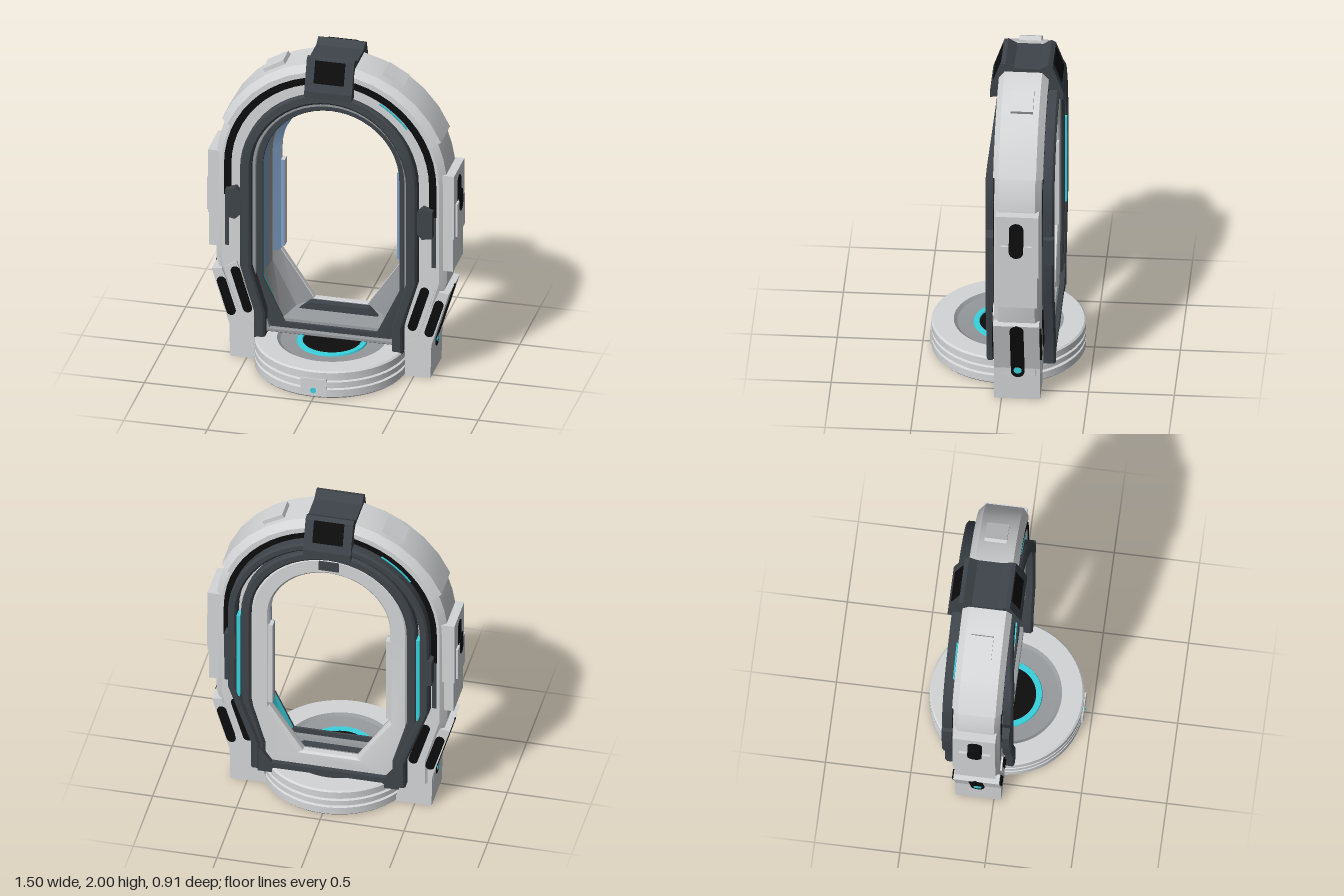
import * as THREE from 'three';
import { toCreasedNormals } from 'three/addons/utils/BufferGeometryUtils.js';

const mat = (name, color) => Object.assign(new THREE.MeshStandardMaterial({ color, side: THREE.DoubleSide }), { name });
const silver = mat('silver', 0xd3d5d7), grey = mat('midGrey', 0x96999c), dark = mat('darkSlate', 0x3e444a);
const black = mat('black', 0x0d0d0e), cyan = mat('cyanGlow', 0x38d2de), blue = mat('softBlue', 0x80a0c7);

const CY = 1.25; // centre height of the arch curve

// Outlines: the right half below the arch curve, from the bottom up
const opening = r => [[0.16 + 2.4 * (r - 0.36), 0.66 - r], [r, 0.6 - 1.4 * (r - 0.36)]];
const jamb = (inset, knee) => r => [[r - inset, 0.16], [r - inset, 0.33], [r, knee]];
const straight = y => r => [[r, y]];
const none = () => [];

function outline(r, lower, start, n) {
  const side = lower(r), pts = [...side];
  for (let i = 0; i <= n; i++) {
    const a = start + (Math.PI - 2 * start) * i / n;
    pts.push([r * Math.cos(a), CY + r * Math.sin(a)]);
  }
  return pts.concat(side.map(([x, y]) => [-x, y]).reverse());
}

// Sweeps a profile of [radius, z] points around an arch outline; lean tips the top backward
function sweep(profile, lower, { closed = false, start = 0, n = 26, lean = 0 } = {}) {
  const rails = profile.map(([r, z]) => outline(r, lower, start, n).map(([x, y]) => [x, y, z - lean * Math.max(0, y - 1.45)]));
  const m = profile.length, count = rails[0].length, pos = [];
  const tri = (...p) => p.forEach(v => pos.push(...v));
  for (let i = 0; i < (closed ? count : count - 1); i++) {
    const k = (i + 1) % count;
    for (let j = 0; j < (m > 2 ? m : 1); j++) {
      const p = rails[j], q = rails[(j + 1) % m];
      tri(p[i], q[i], q[k]);
      tri(p[i], q[k], p[k]);
    }
  }
  if (!closed) for (let j = 1; j < m - 1; j++) {
    tri(rails[0][0], rails[j + 1][0], rails[j][0]);
    tri(rails[0][count - 1], rails[j][count - 1], rails[j + 1][count - 1]);
  }
  const g = new THREE.BufferGeometry();
  g.setAttribute('position', new THREE.Float32BufferAttribute(pos, 3));
  return toCreasedNormals(g, 0.4);
}

// Rectangular ring profile with small bevels
const bar = (r0, r1, z0, z1, b = 0.012) => [[r0 + b, z1], [r1 - b, z1], [r1, z1 - b], [r1, z0 + b],
  [r1 - b, z0], [r0 + b, z0], [r0, z0 + b], [r0, z1 - b]];

function plate(points, z0, z1) {
  const g = new THREE.ExtrudeGeometry(new THREE.Shape(points.map(p => new THREE.Vector2(...p))), { depth: z1 - z0, bevelEnabled: false });
  return g.translate(0, 0, z0);
}

function capsule(length, width, depth = 0.009) {
  const s = new THREE.Shape(), r = width / 2, h = Math.max(length / 2 - r, 0.0001);
  s.absarc(0, h, r, 0, Math.PI);
  s.absarc(0, -h, r, Math.PI, 2 * Math.PI);
  return new THREE.ExtrudeGeometry(s, { depth, bevelEnabled: false, curveSegments: 8 }).translate(0, 0, -depth / 2);
}

export function createModel() {
  const root = new THREE.Group();
  const add = (name, geometry, material, x = 0, y = 0, z = 0) => {
    const m = new THREE.Mesh(geometry, material);
    m.name = name;
    m.position.set(x, y, z);
    root.add(m);
    return m;
  };
  const box = (name, w, h, d, material, x, y, z) => add(name, new THREE.BoxGeometry(w, h, d), material, x, y, z);

  // Outer silver arch and its raised upper shell
  const jambs = jamb(0.085, 0.62);
  add('outerArch', sweep([[0.52, 0.04], [0.65, 0.04], [0.69, 0.01], [0.69, -0.2], [0.65, -0.235], [0.52, -0.235]], jambs), silver);
  add('upperShell', sweep([[0.645, 0.048], [0.67, 0.048], [0.712, 0.015], [0.712, -0.205], [0.67, -0.243], [0.645, -0.243]],
    none, { start: 0.4, n: 12 }), silver);
  add('frontBlackStrip', sweep([[0.592, 0.046], [0.636, 0.046]], straight(1.05)), black);
  add('backBlackStrip', sweep([[0.636, -0.241], [0.592, -0.241]], straight(1.05)), black);
  add('frontSeam', sweep([[0.606, 0.043], [0.632, 0.043]], straight(0.72)), dark);
  add('backSeam', sweep([[0.632, -0.238], [0.606, -0.238]], straight(0.72)), dark);

  // Dark frames front and back
  add('frontFrame', sweep(bar(0.465, 0.53, -0.01, 0.1), jambs, { lean: 0.13 }), dark);
  add('backInnerFrame', sweep(bar(0.465, 0.525, -0.29, -0.2), jambs), dark);
  add('backOuterFrame', sweep(bar(0.547, 0.6, -0.305, -0.22), jamb(0.14, 0.72)), dark);

  // Inner sleeve, stepping inward from front to back
  const ring = { closed: true };
  add('sleeveLip', sweep(bar(0.445, 0.47, -0.02, 0.05, 0.004), opening, ring), grey);
  add('sleeveFrontRing', sweep(bar(0.408, 0.45, 0.012, 0.025, 0.003), opening, ring), dark);
  add('sleeveGlow', sweep([[0.42, -0.045], [0.41, 0.013]], opening), cyan);
  add('sleeveWall', sweep([[0.36, -0.215], [0.402, -0.185], [0.422, -0.045], [0.47, -0.04], [0.47, -0.215]], opening, ring), grey);
  add('sleeveSidePanel', sweep([[0.407, -0.11], [0.417, -0.047]], straight(0.55)), blue);
  add('sleeveBackPanel', sweep([[0.358, -0.211], [0.4, -0.181]], straight(0.6)), blue);
  add('backRing', sweep(bar(0.36, 0.465, -0.27, -0.212, 0.012), opening, ring), silver);
  add('sill', plate([[-0.25, 0.245], [0.25, 0.245], [0.175, 0.298], [-0.175, 0.298]], -0.21, -0.16), dark);
  box('innerSensor', 0.12, 0.06, 0.05, dark, 0, 1.67, -0.255);
  add('backSkirt', plate([[-0.42, 0.14], [0.42, 0.14], [0.42, 0.32], [0.34, 0.21], [-0.34, 0.21], [-0.42, 0.32]], -0.3, -0.2), dark);

  // Short glowing arcs, one on each face
  for (const [r, z, from] of [[0.582, 0.045, 0.66], [0.607, -0.25, Math.PI - 1.04]]) {
    add('glowArc', new THREE.TorusGeometry(r, 0.006, 5, 12, 0.38).rotateZ(from), cyan, 0, CY, z);
  }

  for (const s of [-1, 1]) {
    const shape = (pts, z0, z1) => plate(pts.map(([x, y]) => [s * x, y]), z0, z1);
    const sideSlot = (name, geometry, material, x, y, tilt) => {
      const m = add(name, geometry, material, s * x, y, -0.095);
      m.rotation.order = 'ZYX';
      m.rotation.set(0, s * Math.PI / 2, -s * tilt);
    };

    // Feet with slots on the front, back and outer side
    add('foot', shape([[0.38, 0], [0.6, 0], [0.605, 0.21], [0.71, 0.557], [0.65, 0.565], [0.53, 0.27], [0.42, 0.17]], -0.225, 0.043), silver);
    add('cornerFiller', shape([[0.36, 0.15], [0.55, 0.15], [0.55, 0.6], [0.462, 0.6], [0.46, 0.45], [0.41, 0.2]], -0.22, -0.005), silver);
    sideSlot('footSideSlot', capsule(0.38, 0.08), black, 0.656, 0.376, 0.294);
    sideSlot('footSideSlotEnd', capsule(0.13, 0.08), black, 0.604, 0.215, 0.02);
    sideSlot('footLight', capsule(0.046, 0.046), cyan, 0.608, 0.2, 0.02);
    for (const [z0, z1, face] of [[0, 0.05, 1], [-0.235, -0.18, -1]]) {
      const z = face > 0 ? z1 : z0;
      add('footFin', shape([[0.43, 0.25], [0.53, 0.27], [0.63, 0.58], [0.56, 0.625]], z0, z1), silver);
      add('footSlot', capsule(0.25, 0.055), black, s * 0.622, 0.39, z - face * 0.004).rotation.z = -s * 0.3;
      add('finSlot', capsule(0.3, 0.055), black, s * 0.53, 0.445, z + face * 0.001).rotation.z = -s * 0.3;
    }

    // Side armour panels
    box('upperSidePanel', 0.08, 0.41, 0.25, silver, s * 0.697, 1.115, -0.1);
    box('lowerSidePanel', 0.07, 0.22, 0.24, silver, s * 0.695, 0.81, -0.095);
    box('sideBlock', 0.07, 0.21, 0.18, silver, s * 0.715, 1.02, -0.095);
    sideSlot('sidePanelSlot', capsule(0.22, 0.085), black, 0.736, 1.165, 0);
    sideSlot('sideBlockSlot', capsule(0.14, 0.085, 0.006), black, 0.749, 1.117, 0);

    // Pads narrowing the opening, blue on the front
    box('openingPad', 0.035, 0.56, 0.05, silver, s * 0.355, 0.9, -0.242);
    box('openingPadFace', 0.035, 0.56, 0.006, blue, s * 0.355, 0.9, -0.214);

    // Dark grips on both faces, rear light line, pads on the shell
    for (const [x, z] of [[0, 0.06], [0.02, -0.275]]) {
      add('grip', shape([[0.53 + x, 0.95], [0.56, 0.92], [0.62, 0.93], [0.62, 1.1], [0.56, 1.12], [0.53 + x, 1.09]], z - 0.03, z + 0.03), dark);
    }
    box('rearLightLine', 0.021, 0.58, 0.06, cyan, s * 0.536, 0.95, -0.272);
    const a = Math.PI / 2 - s * 0.52;
    box('shellPad', 0.03, 0.14, 0.13, silver, 0.718 * Math.cos(a), CY + 0.718 * Math.sin(a), -0.105).rotation.z = a;
  }

  // Dark clasp over the top, with a screen at each end
  const clasp = plate([[0.1, 1.77], [0.1, 1.81], [0.035, 1.995], [0.01, 2], [-0.04, 1.97], [-0.19, 1.97],
    [-0.24, 2], [-0.265, 1.985], [-0.33, 1.81], [-0.33, 1.77], [-0.26, 1.775], [0.04, 1.775]], -0.142, 0.142);
  add('topClasp', clasp.rotateY(-Math.PI / 2), dark);
  for (const [z, tilt] of [[0.061, -0.338], [-0.291, 0.338]]) {
    box('claspScreen', 0.18, 0.135, 0.009, black, 0, 1.922, z).rotation.x = tilt;
  }

  // Round base platform with grooves and a sunken glowing pad
  const lathe = (name, pts, material) => add(name,
    toCreasedNormals(new THREE.LatheGeometry(pts.map(p => new THREE.Vector2(...p)), 56), 0.5), material);
  lathe('baseDisc', [[0.44, 0], [0.45, 0.01], [0.45, 0.055], [0.435, 0.06], [0.435, 0.068], [0.45, 0.073],
    [0.45, 0.105], [0.435, 0.11], [0.435, 0.118], [0.45, 0.123], [0.45, 0.165], [0.44, 0.174], [0.32, 0.174]], silver);
  lathe('baseSlope', [[0.32, 0.174], [0.3, 0.16], [0.2, 0.15]], grey);
  lathe('padGlow', [[0.207, 0.15], [0.203, 0.16], [0.172, 0.16], [0.168, 0.15]], cyan);
  lathe('padCentre', [[0.172, 0.153], [0, 0.153]], black);
  lathe('baseUnderside', [[0, 0], [0.44, 0]], blue);
  box('baseTab', 0.15, 0.1, 0.04, silver, 0, 0.075, 0.435);
  add('baseTabLight', capsule(0.035, 0.035, 0.006), cyan, 0, 0.05, 0.455);
  return root;
}
